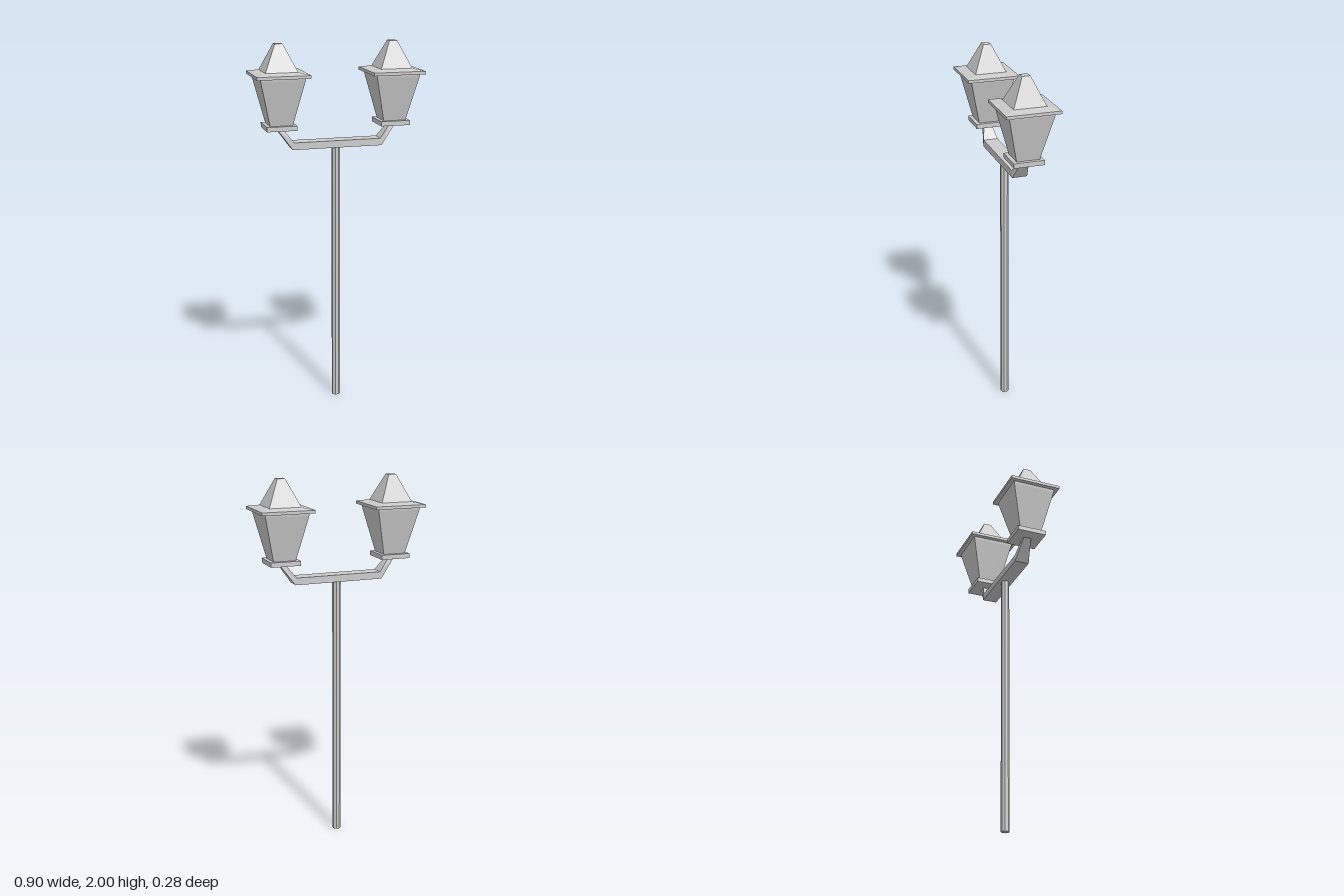
import * as THREE from 'three';

const material = new THREE.MeshStandardMaterial({ color: 0xcccccc, flatShading: true });

function addPart(parent, name, geometry) {
  const mesh = new THREE.Mesh(geometry, material);
  mesh.name = name;
  parent.add(mesh);
}

// Square block that tapers from one half-width to another between two heights
function taperedBlock(y0, half0, y1, half1) {
  return new THREE.CylinderGeometry(half1 * Math.SQRT2, half0 * Math.SQRT2, y1 - y0, 4)
    .rotateY(Math.PI / 4)
    .translate(0, (y0 + y1) / 2, 0);
}

// Upturned cross arm: front outline extruded, then narrowed at both tips
function crossArmGeometry() {
  const half = [[0.245, 1.445], [0.33, 1.56], [0.298, 1.56], [0.238, 1.483]];
  const outline = [...half, ...half.map(([x, y]) => [-x, y]).reverse()];
  const shape = new THREE.Shape(outline.map(([x, y]) => new THREE.Vector2(x, y)));
  const geometry = new THREE.ExtrudeGeometry(shape, { depth: 0.08, bevelEnabled: false });
  geometry.translate(0, 0, -0.04);
  const pos = geometry.attributes.position;
  for (let i = 0; i < pos.count; i++) {
    if (Math.abs(pos.getX(i)) > 0.27) pos.setZ(i, pos.getZ(i) * 0.5);
  }
  geometry.computeVertexNormals();
  return geometry;
}

function createLantern() {
  const lantern = new THREE.Group();
  addPart(lantern, 'basePlate', taperedBlock(1.555, 0.081, 1.58, 0.081));
  addPart(lantern, 'glassBody', taperedBlock(1.58, 0.061, 1.818, 0.117));
  addPart(lantern, 'bodyRim', taperedBlock(1.818, 0.117, 1.832, 0.119));
  addPart(lantern, 'eavePlate', taperedBlock(1.832, 0.142, 1.848, 0.142));
  addPart(lantern, 'eaveSlope', taperedBlock(1.848, 0.142, 1.859, 0.086));
  addPart(lantern, 'roof', taperedBlock(1.859, 0.086, 2, 0.021));
  return lantern;
}

export function createModel() {
  const model = new THREE.Group();
  model.name = 'streetLamp';

  // Octagonal pole
  addPart(model, 'pole', new THREE.CylinderGeometry(0.023, 0.023, 1.445, 8)
    .rotateY(Math.PI / 8).translate(0, 0.7225, 0));
  addPart(model, 'crossArm', crossArmGeometry());

  // One lantern on each tip of the arm
  for (const side of [-1, 1]) {
    const lantern = createLantern();
    lantern.name = side > 0 ? 'leftLantern' : 'rightLantern';
    lantern.position.x = side * 0.31;
    model.add(lantern);
  }
  return model;
}
